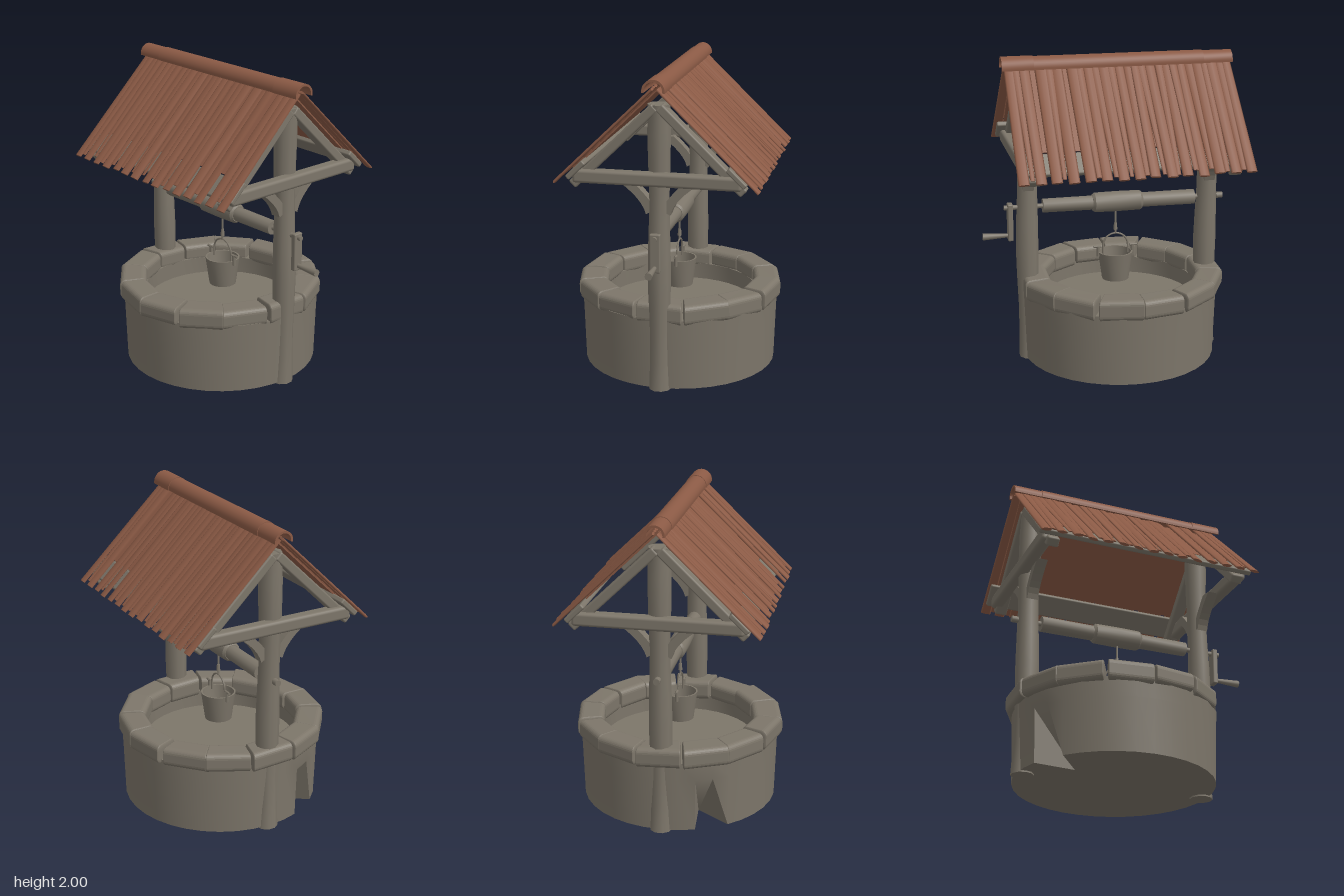
import * as THREE from 'three';
import { toCreasedNormals } from 'three/addons/utils/BufferGeometryUtils.js';
import { RoundedBoxGeometry } from 'three/addons/geometries/RoundedBoxGeometry.js';

const grey = new THREE.MeshStandardMaterial({ color: 0x7d766a });
grey.name = 'weathered grey';
const brown = new THREE.MeshStandardMaterial({ color: 0x8b5a45 });
brown.name = 'roof brown';

let seed = 7;
const rand = () => (seed = (seed * 16807) % 2147483647) / 2147483647;
const vary = (a) => (rand() * 2 - 1) * a;

function add(parent, name, geo, mat, x = 0, y = 0, z = 0) {
  const m = new THREE.Mesh(geo, mat);
  m.name = name;
  m.position.set(x, y, z);
  parent.add(m);
  return m;
}
const lathe = (pts, n) => new THREE.LatheGeometry(pts.map((p) => new THREE.Vector2(...p)), n);
// cylinder lying along x, r0 at the -x end and r1 at the +x end
const rod = (x0, x1, r0, r1 = r0, n = 12) =>
  new THREE.CylinderGeometry(r0, r1, x1 - x0, n).rotateZ(Math.PI / 2).translate((x0 + x1) / 2, 0, 0);

// Round wall with a sunken floor and a chipped notch at the foot
function wallGeometry() {
  const g = lathe([[0, 0.01], [0.63, 0.01], [0.64, 0.35], [0.645, 0.47], [0.5, 0.47], [0.5, 0.36], [0, 0.36]], 36);
  const p = g.attributes.position;
  for (let i = 0; i < p.count; i++) {
    const x = p.getX(i), z = p.getZ(i);
    const deg = THREE.MathUtils.radToDeg(Math.atan2(x, z));
    if (p.getY(i) < 0.05 && Math.hypot(x, z) > 0.5 && Math.abs(deg + 60) < 3) {
      p.setX(i, x * 0.6);
      p.setZ(i, z * 0.6);
    }
  }
  return toCreasedNormals(g.toNonIndexed(), 0.7);
}

// Rounded block bent around the rim
function stoneGeometry(arc, width, height) {
  const g = new RoundedBoxGeometry(1, height, width, 3, 0.035);
  const p = g.attributes.position, skew = vary(0.05), lift = vary(0.015);
  const v = new THREE.Vector3();
  for (let i = 0; i < p.count; i++) {
    v.fromBufferAttribute(p, i);
    const a = v.x * arc + skew * v.z;
    const r = 0.57 + v.z - 0.012 * Math.cos(v.x * 6);
    p.setXYZ(i, Math.sin(a) * r, v.y + lift * v.x, Math.cos(a) * r);
  }
  g.computeVertexNormals();
  return g;
}

// Rough-hewn post, its outline wandering a little with height
function postGeometry(phase) {
  const g = new THREE.CylinderGeometry(0.068, 0.07, 1.83, 10, 10);
  const p = g.attributes.position;
  for (let i = 0; i < p.count; i++) {
    const y = p.getY(i), k = 1 + 0.07 * Math.sin(y * 7 + phase);
    p.setXYZ(i, p.getX(i) * k + 0.005 * Math.sin(y * 4 + phase), y, p.getZ(i) * k);
  }
  g.computeVertexNormals();
  return toCreasedNormals(g.toNonIndexed(), 0.9);
}

// Curved knee brace between post and tie beam, drawn in the z-y plane
function braceGeometry() {
  const s = new THREE.Shape();
  s.moveTo(0.04, 1.17);
  s.lineTo(0.075, 1.15);
  s.quadraticCurveTo(0.1, 1.25, 0.25, 1.35);
  s.lineTo(0.17, 1.36);
  s.quadraticCurveTo(0.08, 1.28, 0.04, 1.22);
  const g = new THREE.ExtrudeGeometry(s, { depth: 0.07, bevelEnabled: false, curveSegments: 6 });
  return g.translate(0, 0, -0.035).rotateY(-Math.PI / 2);
}

// Half-pipe ridge tile along x
function ridgeGeometry(x0, x1, r) {
  const s = new THREE.Shape();
  s.absarc(0, 0, r, -0.15, Math.PI + 0.15, false);
  s.absarc(0, 0, r - 0.014, Math.PI + 0.15, -0.15, true);
  const g = new THREE.ExtrudeGeometry(s, { depth: x1 - x0, bevelEnabled: false, curveSegments: 10 });
  return toCreasedNormals(g.rotateY(Math.PI / 2).translate(x0, 0, 0), 0.6);
}

function buildWell() {
  const well = new THREE.Group();
  well.name = 'well';
  add(well, 'wall', wallGeometry(), grey, -0.08);
  const n = 14;
  for (let i = 0; i < n; i++) {
    const arc = (Math.PI * 2 / n) * (0.98 + vary(0.03));
    const stone = add(well, 'rimStone', stoneGeometry(arc, 0.18 + vary(0.015), 0.125 + vary(0.012)), grey, -0.095, 0.507);
    stone.rotation.y = (i + 0.5) * Math.PI * 2 / n + vary(0.02);
  }
  return well;
}

function buildFrame() {
  const frame = new THREE.Group();
  frame.name = 'frame';
  for (const [x, out] of [[-0.67, -1], [0.52, 1]]) {
    add(frame, 'post', postGeometry(x * 5), grey, x, 0.915);
    add(frame, 'tieBeam', new RoundedBoxGeometry(0.08, 0.085, 1.04, 2, 0.02), grey, x + out * 0.06, 1.38);
    for (const side of [0, Math.PI]) {
      add(frame, 'brace', braceGeometry().rotateY(Math.PI).rotateY(side).rotateY(Math.PI), grey, x);
    }
  }
  return frame;
}

function buildWindlass() {
  const w = new THREE.Group();
  w.name = 'windlass';
  w.position.y = 1.025;
  add(w, 'axle', rod(-0.77, 0.67, 0.016), grey);
  add(w, 'axleEnd', rod(-0.78, -0.74, 0.021), grey);
  add(w, 'drum', toCreasedNormals(rod(-0.585, 0.42, 0.05, 0.046), 0.8), grey);
  const coil = lathe([[0, -0.165], [0.052, -0.165], [0.064, -0.15], [0.066, 0], [0.064, 0.15], [0.052, 0.165], [0, 0.165]], 16);
  add(w, 'ropeCoil', toCreasedNormals(coil.rotateZ(-Math.PI / 2).toNonIndexed(), 0.6), grey, -0.07);
  add(w, 'crankArm', new RoundedBoxGeometry(0.035, 0.245, 0.066, 2, 0.008), grey, 0.632, -0.095);
  add(w, 'crankHandle', rod(0.64, 0.81, 0.013, 0.023).translate(0, -0.185, 0), grey);
  return w;
}

function buildBucket() {
  const b = new THREE.Group();
  b.name = 'bucketAndRope';
  b.position.x = -0.06;
  add(b, 'rope', new THREE.CylinderGeometry(0.007, 0.007, 0.17, 8), grey, 0, 0.89);
  add(b, 'knot', new THREE.CylinderGeometry(0.01, 0.014, 0.045, 8), grey, 0, 0.855);
  const pail = lathe([[0, 0.5], [0.088, 0.5], [0.114, 0.685], [0.103, 0.685], [0.08, 0.515], [0, 0.515]], 18);
  add(b, 'bucket', toCreasedNormals(pail.toNonIndexed(), 0.6), grey);
  add(b, 'bail', new THREE.TorusGeometry(0.083, 0.006, 6, 20, Math.PI), grey, 0, 0.725);
  for (const s of [-1, 1]) {
    add(b, 'bailEnd', new THREE.CylinderGeometry(0.006, 0.006, 0.06, 6), grey, s * 0.083, 0.7);
    add(b, 'ear', new THREE.CylinderGeometry(0.011, 0.011, 0.07, 8), grey, s * 0.114, 0.69);
    add(b, 'earPin', rod(-0.025, 0.025, 0.008), grey, s * 0.12, 0.722);
  }
  return b;
}

// One roof slope: local z runs down the slope, local y is its outward normal
function buildSlope(s) {
  const turn = new THREE.Group();
  turn.name = s > 0 ? 'frontSlope' : 'backSlope';
  turn.rotation.y = s > 0 ? 0 : Math.PI;
  const slope = new THREE.Group();
  slope.position.y = 1.95;
  slope.rotation.x = Math.atan2(0.61, 0.63);
  turn.add(slope);

  const plank = (x, r0, r1, z0, z1, tilt) => {
    const g = new THREE.CylinderGeometry(r1, r0, z1 - z0, 8).rotateX(Math.PI / 2).scale(1, 0.28, 1);
    const m = add(slope, 'plank', g, brown, s * x, vary(0.004), (z0 + z1) / 2);
    m.rotation.set(0, tilt, vary(0.15));
  };
  for (let i = 0; i < 15; i++) {
    plank(-0.773 + i * 0.1, 0.034 + vary(0.006), 0.034, 0.02, 0.87 + vary(0.006), vary(0.008));
  }
  // slim split boards filling some of the gaps
  for (let i = 0; i < 14; i++) {
    if (i < 9 || i % 2) plank(-0.723 + i * 0.1, 0.03, 0.012 + rand() * 0.008, 0.02, 0.82 + rand() * 0.04, vary(0.02));
  }
  add(slope, 'underlay', new THREE.BoxGeometry(1.26, 0.008, 0.62), brown, s * -0.06, -0.022, 0.33);
  add(slope, 'eavesBoard', new RoundedBoxGeometry(1.44, 0.035, 0.15, 2, 0.01), grey, s * -0.075, -0.035, 0.72);
  for (const x of [-0.7, 0.55]) {
    add(slope, 'rafter', new RoundedBoxGeometry(0.08, 0.06, 0.72, 2, 0.012), grey, s * x, -0.085, 0.46);
  }
  return turn;
}

export function createModel() {
  const model = new THREE.Group();
  model.name = 'wishingWell';
  model.add(buildWell(), buildFrame(), buildWindlass(), buildBucket());
  const roof = new THREE.Group();
  roof.name = 'roof';
  roof.add(buildSlope(1), buildSlope(-1));
  for (const [x0, x1, r] of [[-0.81, -0.58, 0.062], [-0.62, 0.5, 0.066], [0.47, 0.67, 0.07]]) {
    add(roof, 'ridgeTile', ridgeGeometry(x0, x1, r), brown, 0, 1.93);
  }
  model.add(roof);
  return model;
}
